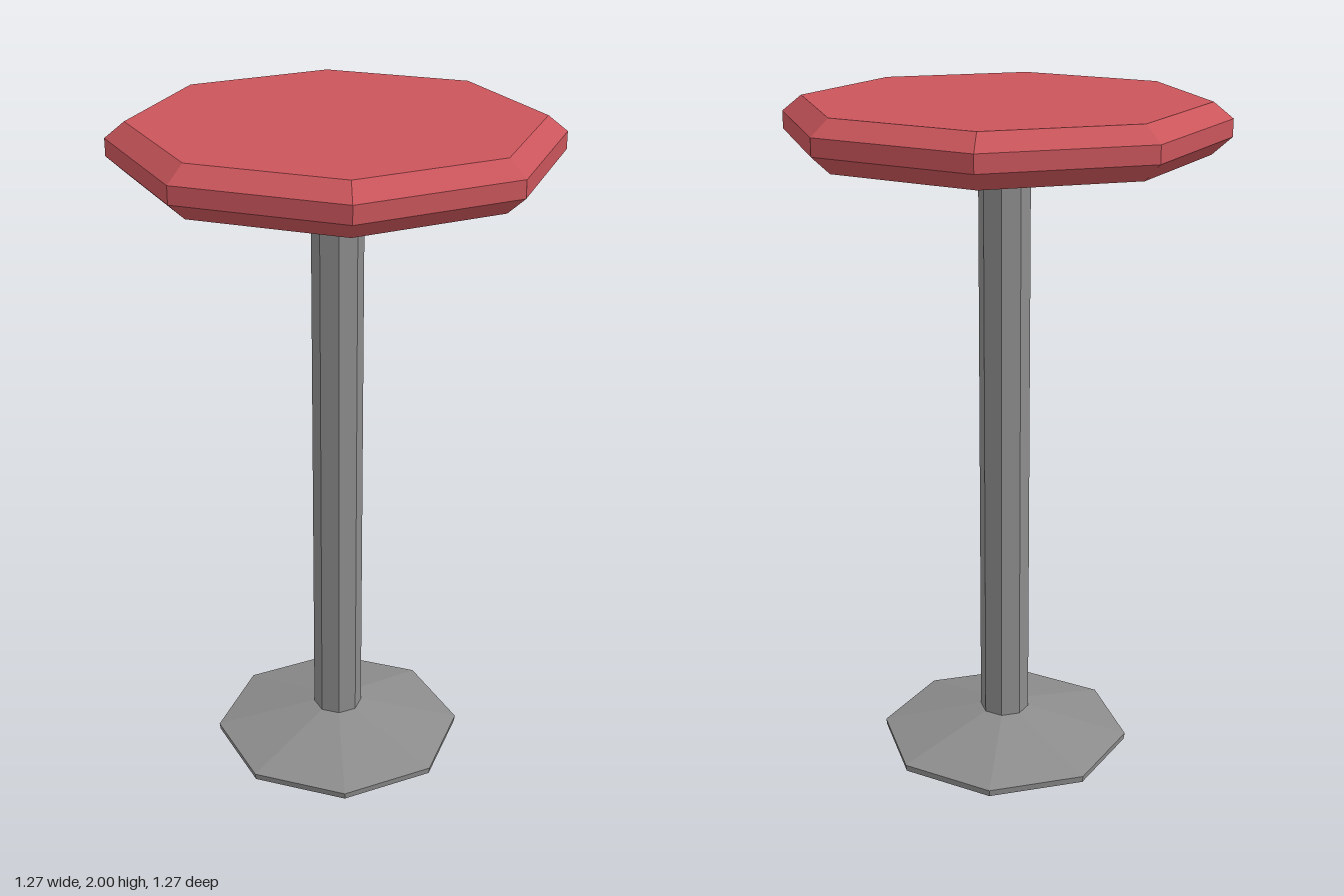
import * as THREE from 'three';

const SIDES = 8;

// Faceted octagonal solid turned from a [radius, height] profile, bottom to top
function turned(name, profile, color) {
  const points = profile.map(([r, y]) => new THREE.Vector2(r, y));
  const material = new THREE.MeshStandardMaterial({ color, flatShading: true });
  const mesh = new THREE.Mesh(new THREE.LatheGeometry(points, SIDES), material);
  mesh.name = name;
  return mesh;
}

export function createModel() {
  const group = new THREE.Group();
  group.name = 'barStool';
  const metal = 0x8c8c8c, red = 0xc9555b;

  // Floor plate: thin rim and a shallow cone up to the pole
  group.add(turned('base', [[0, 0], [0.38, 0], [0.383, 0.02], [0.075, 0.1], [0, 0.1]], metal));

  // Slim upright, reaching the underside of the seat
  group.add(turned('pole', [[0.075, 0.1], [0.075, 1.855]], metal));

  // Padded seat, bevelled above and below
  group.add(turned('seat', [
    [0, 1.855], [0.577, 1.855], [0.633, 1.905], [0.633, 1.955], [0.577, 2], [0, 2],
  ], red));

  return group;
}
